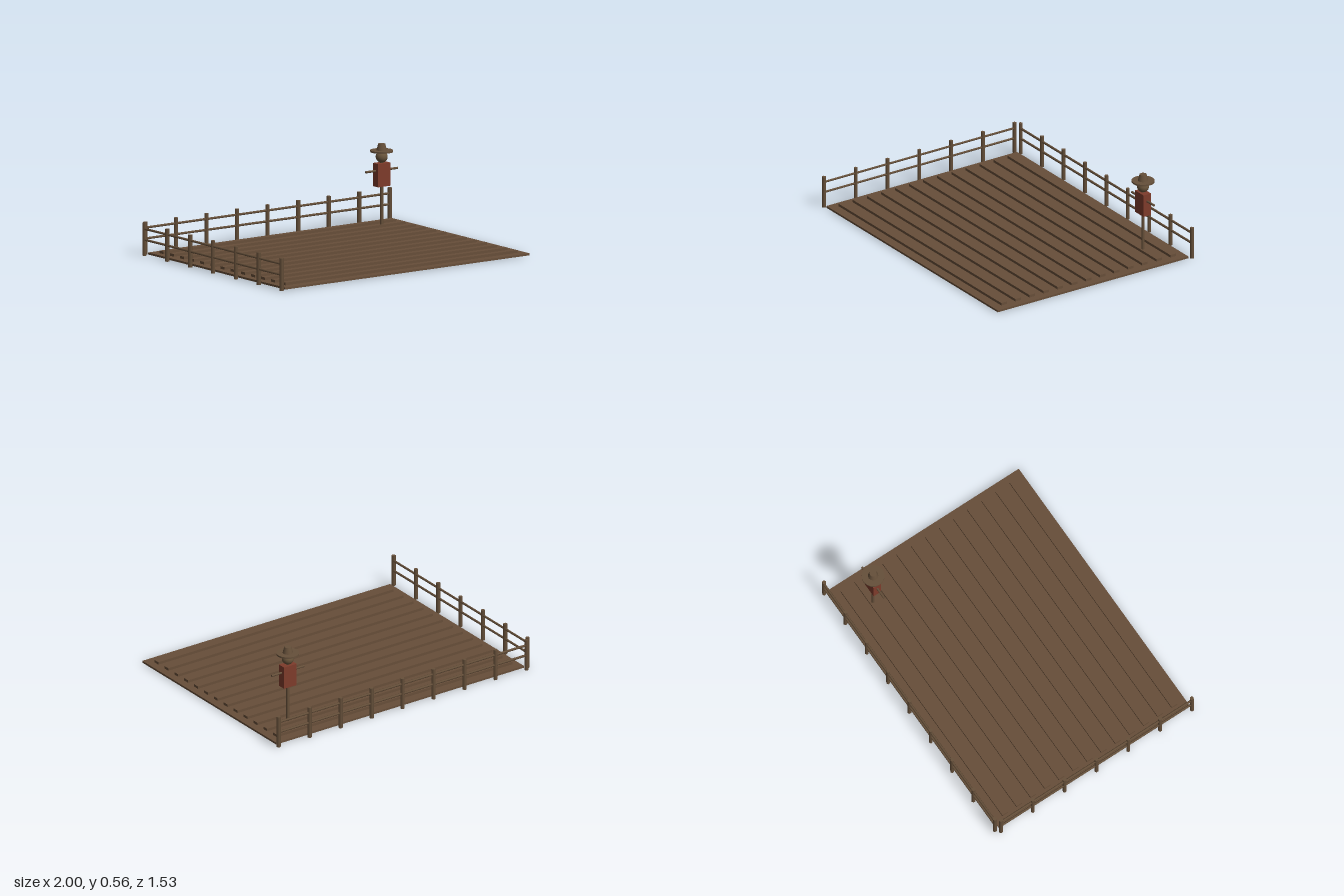
import * as THREE from 'three';

const mat = (name, color) => {
  const m = new THREE.MeshStandardMaterial({ color });
  m.name = name;
  return m;
};

export function createModel() {
  const soil = mat('soil brown', 0x674e39);
  const wood = mat('weathered wood', 0x66503a);
  const straw = mat('dull straw', 0x6a553c);
  const cloth = mat('rust red cloth', 0x7e3b2b);

  const model = new THREE.Group();
  model.name = 'cropField';
  const add = (parent, name, geometry, material, x, y, z) => {
    const mesh = new THREE.Mesh(geometry, material);
    mesh.name = name;
    mesh.position.set(x, y, z);
    parent.add(mesh);
    return mesh;
  };

  // Field extents
  const left = -0.96, right = 0.988, back = -0.725, front = 0.753;
  const width = right - left, depth = front - back;
  const cx = (left + right) / 2, cz = (back + front) / 2;

  // Ground slab and raised furrows
  add(model, 'ground', new THREE.BoxGeometry(width, 0.013, depth), soil, cx, 0.0105, cz);
  const furrow = new THREE.BoxGeometry(1.85, 0.018, 0.043);
  for (let i = 0; i < 13; i++) {
    add(model, 'furrow', furrow, soil, cx - 0.002, 0.025, cz + (i - 6) * 0.1092);
  }

  // Fences: evenly spaced posts with two rails
  const post = new THREE.CylinderGeometry(0.0137, 0.0137, 0.213, 6);
  const fence = (name, a, b, spans) => {
    const group = new THREE.Group();
    group.name = name;
    for (let i = 0; i <= spans; i++) {
      const p = a.clone().lerp(b, i / spans);
      add(group, 'fencePost', post, wood, p.x, 0.1065, p.z);
    }
    const mid = a.clone().lerp(b, 0.5);
    const rail = new THREE.CylinderGeometry(0.0078, 0.0078, a.distanceTo(b), 6);
    for (const y of [0.104, 0.175]) {
      const mesh = add(group, 'fenceRail', rail, wood, mid.x, y, mid.z);
      mesh.quaternion.setFromUnitVectors(new THREE.Vector3(0, 1, 0), b.clone().sub(a).normalize());
    }
    model.add(group);
  };
  fence('backFence', new THREE.Vector3(left, 0, -front), new THREE.Vector3(right, 0, -front), 8);
  fence('rightFence', new THREE.Vector3(-right, 0, back), new THREE.Vector3(-right, 0, front), 6);

  // Scarecrow
  const scarecrow = new THREE.Group();
  scarecrow.name = 'scarecrow';
  scarecrow.position.set(0.758, 0, -0.53);
  model.add(scarecrow);
  add(scarecrow, 'pole', new THREE.CylinderGeometry(0.0105, 0.0105, 0.425, 8), wood, 0, 0.2275, 0);
  const arms = add(scarecrow, 'arms', new THREE.CylinderGeometry(0.0075, 0.0075, 0.254, 8), wood, 0, 0.387, 0);
  arms.rotation.z = Math.PI / 2;
  add(scarecrow, 'shirt', new THREE.BoxGeometry(0.098, 0.151, 0.058), cloth, 0, 0.3595, 0);
  add(scarecrow, 'head', new THREE.SphereGeometry(0.039, 16, 12), straw, 0, 0.475, 0);
  add(scarecrow, 'hatBrim', new THREE.CylinderGeometry(0.074, 0.074, 0.011, 16), wood, 0, 0.512, 0);
  add(scarecrow, 'hatCrown', new THREE.CylinderGeometry(0.023, 0.034, 0.043, 12), wood, 0, 0.5385, 0);

  return model;
}
